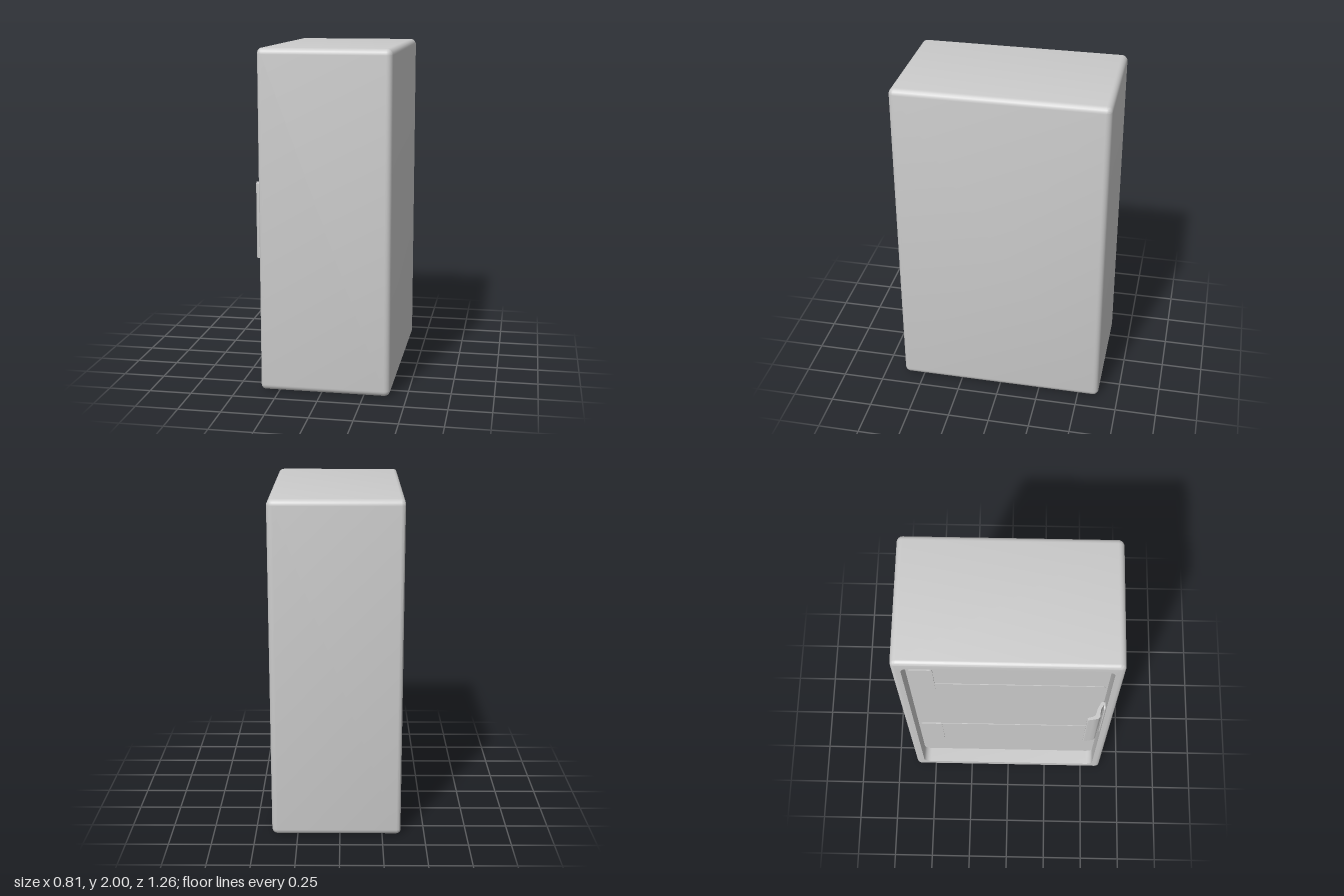
import * as THREE from 'three';
import { toCreasedNormals } from 'three/addons/utils/BufferGeometryUtils.js';

const material = new THREE.MeshStandardMaterial({ color: 0xcccccc });

// Skin through rounded rectangles in the z-y plane; each section is [x, halfZ, halfY, cornerRadius],
// listed from +x towards -x on the outside.
function loft(sections, steps = 6) {
  const loops = sections.map(([x, hz, hy, r]) => {
    const loop = [];
    [[1, 1], [-1, 1], [-1, -1], [1, -1]].forEach(([sz, sy], q) => {
      for (let i = 0; i <= steps; i++) {
        const a = (q + i / steps) * Math.PI / 2;
        loop.push([x, sy * (hy - r) + r * Math.sin(a), sz * (hz - r) + r * Math.cos(a)]);
      }
    });
    return loop;
  });
  const n = loops[0].length, pos = [];
  for (let k = 0; k + 1 < loops.length; k++) {
    for (let j = 0; j < n; j++) {
      const a = loops[k][j], b = loops[k][(j + 1) % n];
      const c = loops[k + 1][(j + 1) % n], d = loops[k + 1][j];
      pos.push(...a, ...b, ...c, ...a, ...c, ...d);
    }
  }
  const geometry = new THREE.BufferGeometry();
  geometry.setAttribute('position', new THREE.Float32BufferAttribute(pos, 3));
  return toCreasedNormals(geometry, 0.6);
}

export function createModel() {
  const group = new THREE.Group();
  const add = (name, geometry, x = 0, y = 0, z = 0) => {
    const mesh = new THREE.Mesh(geometry, material);
    mesh.name = name;
    mesh.position.set(x, y, z);
    group.add(mesh);
    return mesh;
  };

  // Cabinet: rounded box with a shallow rounded recess in its -x side
  const R = 0.035, HZ = 0.628, HY = 1, RIGHT = 0.403, LEFT = -0.36, PANEL = -0.267;
  const sections = [[RIGHT, 0, 0, 0]];
  const fillet = (x, dir, r, start, end) => {
    for (let i = 0; i <= 5; i++) {
      const a = THREE.MathUtils.lerp(start, end, i / 5);
      const inset = r * (1 - Math.cos(a));
      sections.push([x - dir * r * (1 - Math.sin(a)), HZ - inset, HY - inset, R - inset]);
    }
  };
  fillet(RIGHT, 1, R, Math.PI / 2, 0);
  fillet(LEFT, -1, 0.025, 0, Math.PI / 2);
  sections.push([LEFT, 0.575, 0.93, 0.045], [PANEL, 0.575, 0.93, 0.045], [PANEL, 0, 0, 0]);
  add('cabinet', loft(sections), 0, 1, 0);

  // Thin plates lying on the recessed panel
  const plate = (name, z0, z1, y0, y1, thickness) => {
    const hz = (z1 - z0) / 2, hy = (y1 - y0) / 2, r = 0.015;
    add(name, loft([[0, hz, hy, r], [-thickness, hz, hy, r], [-thickness, 0, 0, 0]]),
      PANEL, (y0 + y1) / 2, (z0 + z1) / 2);
  };
  plate('upperBand', -0.56, 0.56, 1.145, 1.44, 0.004);
  plate('lowerBand', -0.56, 0.56, 0.49, 0.667, 0.004);
  plate('upperHingePlate', -0.56, -0.425, 1.31, 1.67, 0.007);
  plate('lowerHingePlate', -0.56, -0.425, 0.3, 0.66, 0.007);

  // Handle mounting plate on the recess side wall
  const mount = add('handleMount',
    loft([[0, 0.028, 0.24, 0.02], [-0.008, 0.028, 0.24, 0.02], [-0.008, 0, 0, 0]]), -0.312, 1, 0.576);
  mount.rotation.y = -Math.PI / 2;

  // Hooked handle: bent strip profile in x-z, extruded upwards
  const outline = [
    [-0.3, 0.572], [-0.335, 0.552], [-0.36, 0.548], [-0.38, 0.547], [-0.394, 0.535],
    [-0.4, 0.505], [-0.405, 0.475], [-0.401, 0.469], [-0.393, 0.47], [-0.389, 0.478],
    [-0.38, 0.508], [-0.372, 0.518], [-0.358, 0.524], [-0.33, 0.532], [-0.29, 0.555], [-0.29, 0.575],
  ];
  const shape = new THREE.Shape(outline.map(([x, z]) => new THREE.Vector2(x, -z)));
  const strip = new THREE.ExtrudeGeometry(shape, { depth: 0.44, bevelEnabled: false });
  strip.rotateX(-Math.PI / 2);
  add('handle', toCreasedNormals(strip, 0.7), 0, 0.78, 0);

  return group;
}
